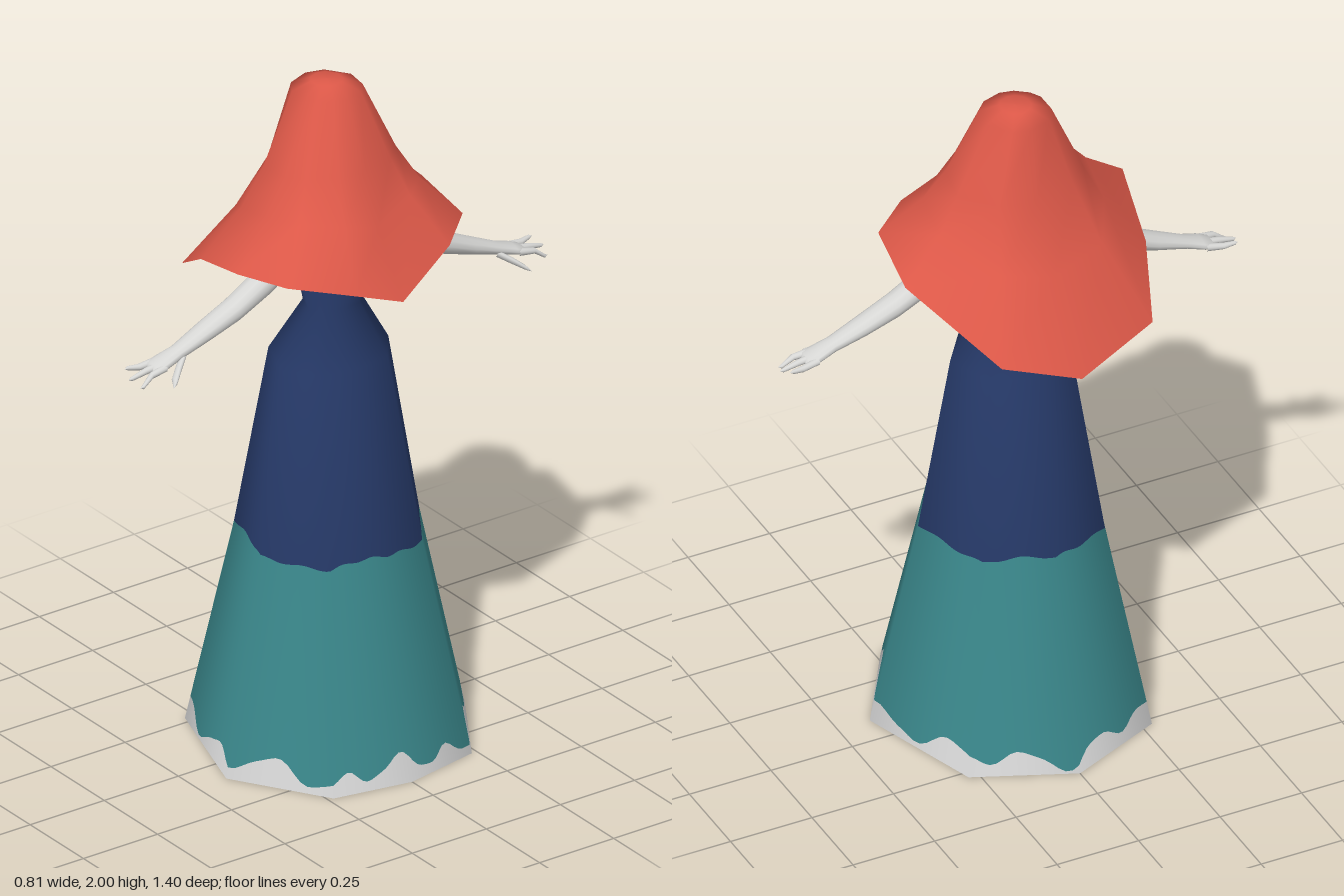
import * as THREE from 'three';

const mat = (name, color, side = THREE.FrontSide) => {
  const m = new THREE.MeshStandardMaterial({ color, side });
  m.name = name;
  return m;
};

// Skin a list of closed rings; smooth normals unless explicit ones are given
function loft(name, rings, material, normals) {
  const n = rings[0].length, index = [];
  for (let i = 0; i < rings.length - 1; i++) {
    for (let j = 0; j < n; j++) {
      const a = i * n + j, b = i * n + (j + 1) % n, c = a + n, d = b + n;
      index.push(a, c, b, b, c, d);
    }
  }
  const g = new THREE.BufferGeometry();
  g.setAttribute('position', new THREE.Float32BufferAttribute(rings.flat(2), 3));
  g.setIndex(index);
  if (normals) g.setAttribute('normal', new THREE.Float32BufferAttribute(normals.flat(2), 3));
  else g.computeVertexNormals();
  const mesh = new THREE.Mesh(g, material);
  mesh.name = name;
  return mesh;
}

// Dress: eight-sided outline swept up a profile of [y, rx, rz, centre x, normal slope]
const outline = [[1, 0], [0.89, 0.58], [0.22, 1], [-0.68, 0.7], [-0.98, 0], [-0.68, -0.7], [0.22, -1], [0.89, -0.58]];
const profile = [
  [0, 0.402, 0.402, 0, 0.21], [0.63, 0.257, 0.268, 0.004, 0.19], [1.17, 0.152, 0.18, 0.006, 0.38],
  [1.33, 0.07, 0.088, 0.022, 0.15], [1.52, 0.112, 0.137, 0.028, 0.1], [1.72, 0.045, 0.05, 0.03, 0.4],
];
const COLS = 128;

function dressPoint(j, y) {
  const u = j / COLS * 8, k = Math.floor(u), f = u - k;
  const a = outline[k], b = outline[(k + 1) % 8];
  const ox = a[0] + (b[0] - a[0]) * f, oz = a[1] + (b[1] - a[1]) * f;
  let s = 0;
  while (s < profile.length - 2 && y > profile[s + 1][0]) s++;
  const p = profile[s], q = profile[s + 1], t = (y - p[0]) / (q[0] - p[0]);
  const [, rx, rz, cx, slope] = p.map((v, i) => v + (q[i] - v) * t);
  const nrm = new THREE.Vector3(ox, slope, oz).normalize();
  return { pos: [cx + ox * rx, y, oz * rz], nrm: nrm.toArray() };
}

function dressBand(name, heights, material) {
  const rows = heights.map(h => Array.from({ length: COLS }, (_, j) =>
    dressPoint(j, typeof h === 'function' ? h(j / COLS * Math.PI * 2) : h)));
  return loft(name, rows.map(r => r.map(p => p.pos)), material, rows.map(r => r.map(p => p.nrm)));
}

// Tapered limb from sections [x, y, z, rx, ry]; side = 1 or -1 along z
function limb(name, sections, side, material) {
  const rings = sections.map(([x, y, z, rx, ry]) => Array.from({ length: 12 }, (_, j) => {
    const a = j / 12 * Math.PI * 2;
    return [x + rx * Math.cos(a), y + ry * Math.sin(a), z * side];
  }));
  if (side > 0) rings.reverse();
  return loft(name, rings, material);
}

export function createModel() {
  const model = new THREE.Group();
  const red = mat('red', 0xdc5848, THREE.DoubleSide);
  const navy = mat('navy', 0x253866, THREE.DoubleSide);
  const teal = mat('teal', 0x3a878b, THREE.DoubleSide);
  const white = mat('paleGrey', 0xd8d8d8, THREE.DoubleSide);
  const skin = mat('skinGrey', 0xd6d6d4);

  // Dress in three bands with wavy borders
  const wave = a => 0.048 + 0.023 * Math.sin(11 * a + 0.6) + 0.014 * Math.sin(5 * a + 1) + 0.005 * Math.sin(23 * a);
  const edge = a => 0.63 + 0.007 * Math.sin(4 * a + 0.5) + 0.004 * Math.sin(13 * a);
  model.add(dressBand('dressHem', [0, wave], white));
  model.add(dressBand('skirt', [wave, edge], teal));
  model.add(dressBand('bodice', [edge, 1.17, 1.33, 1.52, 1.72], navy));

  // Long flaring hair: hem corners [x, y, z], rings narrowing up to the crown
  const hem = [
    [0.36, 1.46, 0], [0.36, 1.525, 0.16], [0.26, 1.555, 0.32], [0.135, 1.57, 0.397],
    [-0.11, 1.5, 0.345], [-0.31, 1.38, 0.265], [-0.407, 1.335, 0], [-0.355, 1.405, -0.22],
    [-0.08, 1.555, -0.378], [0.18, 1.56, -0.33], [0.30, 1.55, -0.20],
  ];
  const ring = (x, y, z) => hem.map(p => {
    const a = Math.atan2(p[2], p[0]), c = Math.cos(a);
    return [c * x(c), y(c), Math.sin(a) * z];
  });
  const mid = ring(c => (c > 0 ? 0.18 : 0.13), c => 1.77 + 0.015 * c, 0.195);
  const low = hem.map((h, i) => h.map((v, k) => (mid[i][k] + (v - mid[i][k]) * 0.45) * (k === 1 ? 1 : 0.93)));
  const crown = (r, y) => ring(() => r, () => y, r);
  model.add(loft('hair', [hem, low, mid, crown(0.1, 1.975), crown(0.045, 1.998), crown(0, 2)], red));

  // Arms with three fingers and a thumb, mirrored along z
  for (const side of [1, -1]) {
    const arm = new THREE.Group();
    arm.name = side > 0 ? 'frontArm' : 'backArm';
    arm.add(limb('armAndPalm', [
      [0.04, 1.63, 0.0, 0, 0], [0.04, 1.62, 0.03, 0.035, 0.04], [0.04, 1.57, 0.1, 0.043, 0.05],
      [0.045, 1.47, 0.24, 0.042, 0.042], [0.045, 1.41, 0.35, 0.04, 0.034], [0.045, 1.37, 0.45, 0.036, 0.026],
      [0.047, 1.336, 0.54, 0.029, 0.018], [0.046, 1.32, 0.59, 0.036, 0.016],
      [0.046, 1.31, 0.62, 0.037, 0.013], [0.046, 1.307, 0.63, 0, 0],
    ], side, skin));
    [[0.02, 0.008, 1.312, 0.687], [0.046, 0.045, 1.298, 0.7], [0.071, 0.081, 1.284, 0.687]].forEach(([x0, x1, y1, z1], i) => {
      const xm = (x0 + x1) / 2;
      arm.add(limb('finger' + (i + 1), [
        [x0, 1.315, 0.595, 0.012, 0.011], [xm, 1.308, 0.645, 0.01, 0.009],
        [x1, y1, z1 - 0.01, 0.006, 0.006], [x1, y1, z1, 0, 0],
      ], side, skin));
    });
    arm.add(limb('thumb', [
      [0.06, 1.33, 0.525, 0.012, 0.011], [0.085, 1.308, 0.56, 0.014, 0.011],
      [0.108, 1.287, 0.59, 0.014, 0.008], [0.125, 1.275, 0.605, 0, 0],
    ], side, skin));
    model.add(arm);
  }
  return model;
}
